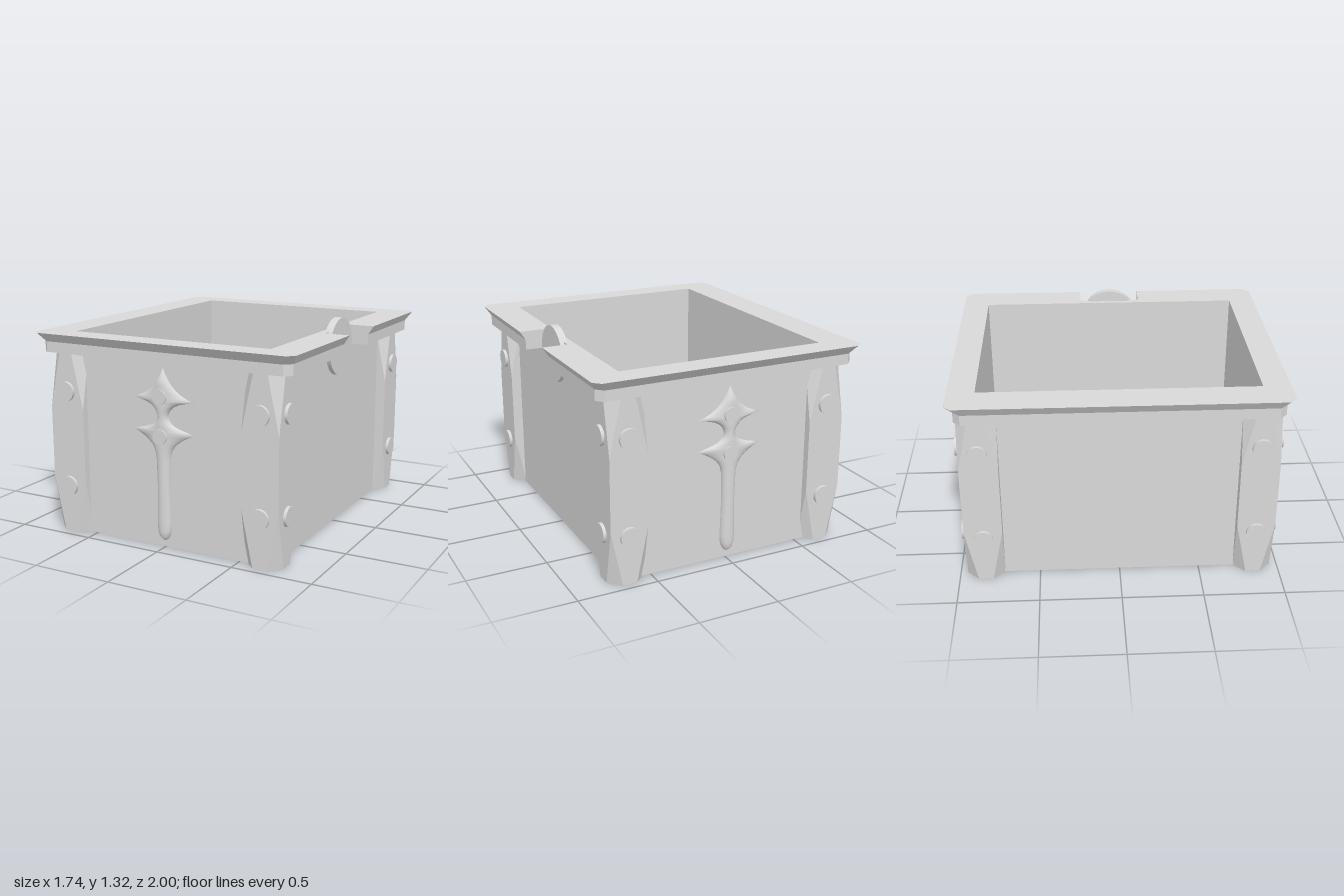
import * as THREE from 'three';

const stone = new THREE.MeshStandardMaterial({ color: 0xd8d8d8, side: THREE.DoubleSide });
stone.name = 'pale grey';

const IN_X = 0.66, IN_Z = 0.835;     // inner half sizes
const OUT_X = 0.71, OUT_Z = 0.908;   // outer wall half sizes
const BASE_Y = 0.006, BAND_Y = 1.13, FLARE_Y = 1.195, TOP_Y = 1.25;

function add(parent, name, geometry, x = 0, y = 0, z = 0) {
  const mesh = new THREE.Mesh(geometry, stone);
  mesh.name = name;
  mesh.position.set(x, y, z);
  parent.add(mesh);
  return mesh;
}

const toPoints = list => list.map(p => new THREE.Vector2(...p));
const rectangle = (x, z) => toPoints([[-x, -z], [x, -z], [x, z], [-x, z]]);

// Horizontal slab with the inner opening cut out, from y0 to y1
function frameSlab(outline, y0, y1) {
  const shape = new THREE.Shape(outline);
  shape.holes.push(new THREE.Path(rectangle(IN_X, IN_Z).reverse()));
  const g = new THREE.ExtrudeGeometry(shape, { depth: y1 - y0, bevelEnabled: false });
  return g.rotateX(-Math.PI / 2).translate(0, y0, 0);
}

// Rim outline with cut corners and a notch on the +x side
function rimOutline() {
  const x = 0.835, z = 0.955, c = 0.042;
  return toPoints([
    [x - c, -z], [x, -z + c], [x, -0.2], [0.71, -0.2], [0.71, 0.2], [x, 0.2],
    [x, z - c], [x - c, z], [-x + c, z], [-x, z - c], [-x, -z + c], [-x + c, -z],
  ]);
}

// Upper rim slab, widened outward at the top
function flareGeometry() {
  const g = frameSlab(rimOutline(), FLARE_Y, TOP_Y);
  const p = g.attributes.position;
  for (let i = 0; i < p.count; i++) {
    if (p.getY(i) < (FLARE_Y + TOP_Y) / 2) continue;
    const x = p.getX(i), z = p.getZ(i);
    if (Math.abs(x) > 0.78) p.setX(i, x + Math.sign(x) * 0.035);
    if (Math.abs(z) > 0.9) p.setZ(i, z + Math.sign(z) * 0.045);
  }
  g.computeVertexNormals();
  return g;
}

// Post around the outer corner: edges are cut away toward both ends,
// and the section stops inside the walls
const H = 0.1175, F = 0.045;
function postGeometry() {
  const pos = [], index = [];
  [[0, F], [0.35, H], [0.79, H], [BAND_Y, F]].forEach(([y, f], r) => {
    const section = [[-H, 0.02], [-H, f], [-f, H], [f, H], [H, f], [H, -f], [f, -H], [0.02, -H]];
    section.forEach(([x, z], i) => {
      pos.push(x, y, z);
      if (r && i) {
        const d = r * 8 + i, b = d - 8;
        index.push(b - 1, b, d - 1, b, d, d - 1);
      }
    });
  });
  const g = new THREE.BufferGeometry();
  g.setAttribute('position', new THREE.Float32BufferAttribute(pos, 3));
  g.setIndex(index);
  const flat = g.toNonIndexed();
  flat.computeVertexNormals();
  return flat;
}

// Eight-sided foot plate under each post
function footGeometry() {
  const shape = new THREE.Shape(toPoints(
    [[H, -F], [H, F], [F, H], [-F, H], [-H, F], [-H, -F], [-F, -H], [F, -H]]));
  return new THREE.ExtrudeGeometry(shape, { depth: BASE_Y, bevelEnabled: false })
    .rotateX(-Math.PI / 2);
}

// Barbed ornament lofted from half-round sections: [height, half width]
const PROFILE = [
  [1.095, 0.002], [1.06, 0.018], [1.03, 0.035], [1.0, 0.055], [0.97, 0.083], [0.945, 0.118],
  [0.925, 0.16], [0.91, 0.203], [0.9, 0.155], [0.888, 0.108], [0.87, 0.07], [0.845, 0.045],
  [0.81, 0.034], [0.78, 0.045], [0.757, 0.072], [0.74, 0.115], [0.727, 0.165], [0.716, 0.208],
  [0.697, 0.165], [0.67, 0.118], [0.64, 0.08], [0.605, 0.057], [0.56, 0.047], [0.4, 0.042],
  [0.26, 0.045], [0.16, 0.048], [0.11, 0.045], [0.075, 0.034], [0.055, 0.018], [0.046, 0.002],
];
function ornamentGeometry() {
  const N = 20, pos = [], index = [];
  PROFILE.forEach(([y, w], r) => {
    const depth = Math.min(0.038, w);
    const k = 1 + 0.6 * THREE.MathUtils.clamp((w - 0.05) / 0.12, 0, 1);
    for (let i = 0; i <= N; i++) {
      const a = Math.PI * (1 - i / N), c = Math.cos(a), s = Math.max(0, Math.sin(a));
      pos.push(w * Math.sign(c) * Math.abs(c) ** k, y, depth * s ** k);
      if (r && i) {
        const d = r * (N + 1) + i, b = d - N - 1;
        index.push(b - 1, d - 1, b, b, d - 1, d);
      }
    }
  });
  const g = new THREE.BufferGeometry();
  g.setAttribute('position', new THREE.Float32BufferAttribute(pos, 3));
  g.setIndex(index);
  g.computeVertexNormals();
  return g;
}

export function createModel() {
  const model = new THREE.Group();
  model.name = 'chest';

  add(model, 'walls', frameSlab(rectangle(OUT_X, OUT_Z), BASE_Y, BAND_Y));
  add(model, 'floor', new THREE.BoxGeometry(2 * IN_X, 0.05, 2 * IN_Z), 0, BASE_Y + 0.025, 0);
  add(model, 'rimBand', frameSlab(rimOutline(), BAND_Y, FLARE_Y));
  add(model, 'rimFlare', flareGeometry());

  // Round lock plate in the notch
  const disc = new THREE.CylinderGeometry(0.178, 0.178, 0.047, 48).rotateZ(Math.PI / 2);
  add(model, 'lockDisc', disc, 0.713, 1.143, 0);

  // Corner posts with studs on the two outer faces
  const postGeo = postGeometry(), footGeo = footGeometry();
  const postMirrored = postGeo.clone().scale(-1, 1, 1);
  const q = postMirrored.attributes.position;
  for (let i = 0; i < q.count; i += 3) {       // restore the corner order after mirroring
    const a = [q.getX(i), q.getY(i), q.getZ(i)];
    q.setXYZ(i, q.getX(i + 1), q.getY(i + 1), q.getZ(i + 1));
    q.setXYZ(i + 1, ...a);
  }
  postMirrored.computeVertexNormals();
  const studZ = new THREE.CylinderGeometry(0.06, 0.06, 0.04, 32).rotateX(Math.PI / 2);
  const studX = studZ.clone().rotateY(Math.PI / 2);
  for (const sx of [-1, 1]) for (const sz of [-1, 1]) {
    const corner = new THREE.Group();
    corner.name = 'cornerPost';
    corner.position.set(sx * 0.657, 0, sz * 0.837);
    const post = add(corner, 'post', sx === sz ? postGeo : postMirrored);
    post.rotation.y = sz < 0 ? Math.PI : 0;
    add(corner, 'foot', footGeo);
    for (const y of [0.303, 0.9]) {
      add(corner, 'endStud', studZ, 0, y, sz * 0.117);
      add(corner, 'sideStud', studX, sx * 0.117, y, 0);
    }
    model.add(corner);
  }

  // Barbed ornaments on the front and back walls
  const ornamentGeo = ornamentGeometry();
  const rivet = new THREE.CylinderGeometry(0.046, 0.046, 0.044, 32).rotateX(Math.PI / 2);
  for (const side of [0, 1]) {
    const ornament = new THREE.Group();
    ornament.name = side ? 'backOrnament' : 'frontOrnament';
    ornament.rotation.y = side * Math.PI;
    add(ornament, 'barbedBlade', ornamentGeo, 0.005, 0, OUT_Z);
    for (const y of [0.692, 0.93]) add(ornament, 'rivet', rivet, 0, y, OUT_Z + 0.022);
    model.add(ornament);
  }
  return model;
}
